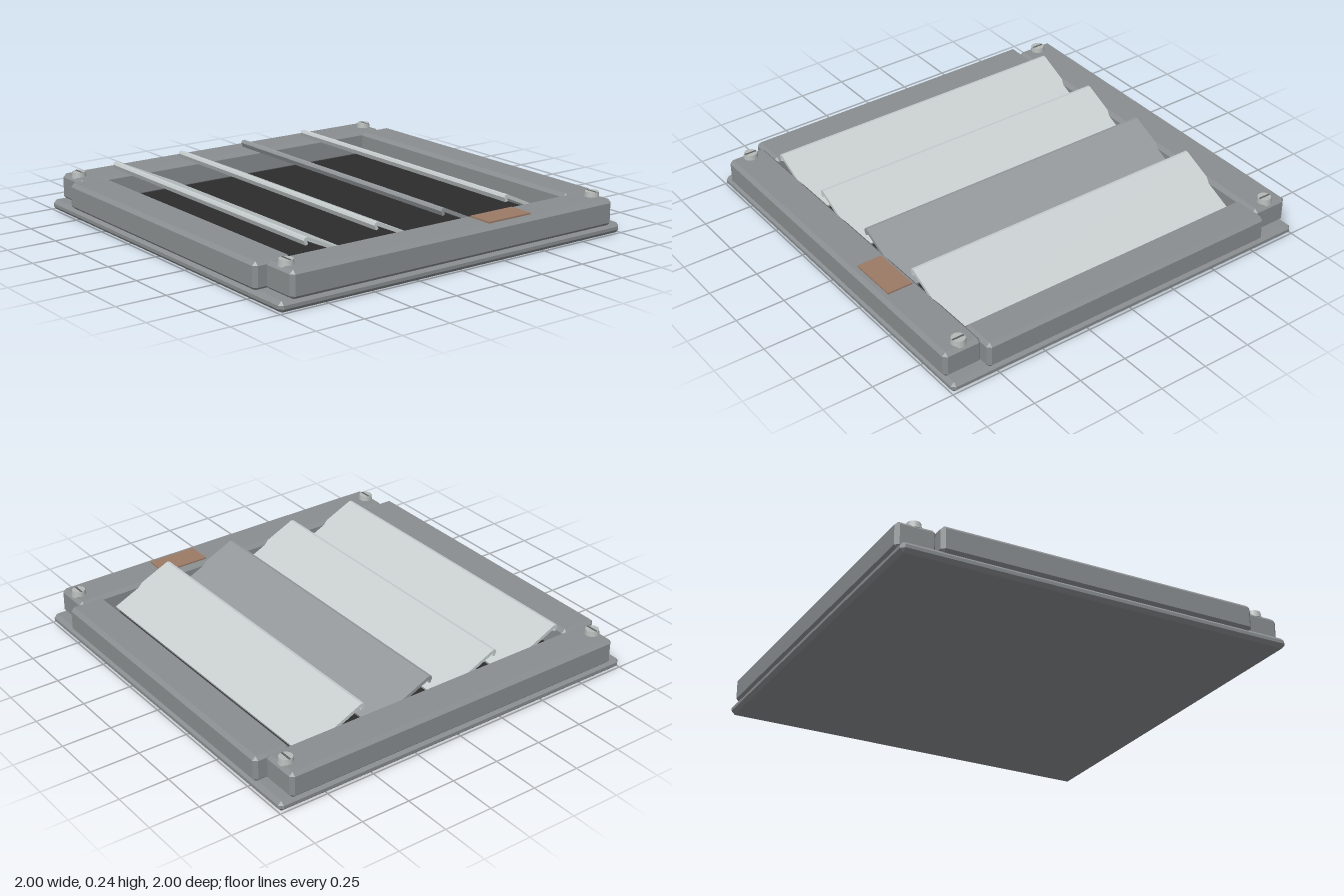
import * as THREE from 'three';
import { ConvexGeometry } from 'three/addons/geometries/ConvexGeometry.js';

function material(name, color) {
  const m = new THREE.MeshStandardMaterial({ color });
  m.name = name;
  return m;
}

// Box between two corners with every edge chamfered by c.
function chamferBox(x0, x1, y0, y1, z0, z1, c) {
  const h = [(x1 - x0) / 2, (y1 - y0) / 2, (z1 - z0) / 2];
  const points = [];
  for (const sx of [-1, 1]) for (const sy of [-1, 1]) for (const sz of [-1, 1]) {
    for (let axis = 0; axis < 3; axis++) {
      const p = h.map((v, i) => (i === axis ? v : v - c));
      points.push(new THREE.Vector3(p[0] * sx, p[1] * sy, p[2] * sz));
    }
  }
  return new ConvexGeometry(points).translate((x0 + x1) / 2, (y0 + y1) / 2, (z0 + z1) / 2);
}

export function createModel() {
  const model = new THREE.Group();
  model.name = 'louvreVent';
  const frame = material('frame grey', 0x8a8e90);
  const pale = material('pale slat metal', 0xc8cecf);
  const worn = material('worn slat grey', 0x94989b);
  const dark = material('dark interior', 0x2c2c2d);
  const steel = material('screw steel', 0xb4b9b7);
  const slotGrey = material('slot grey', 0x5c5f60);
  const copper = material('copper label', 0x9c7a66);

  const add = (name, geometry, mat, parent = model) => {
    const mesh = new THREE.Mesh(geometry, mat);
    mesh.name = name;
    parent.add(mesh);
    return mesh;
  };

  // Back plate and dark floor of the opening
  add('basePlate', chamferBox(-1, 1, 0, 0.052, -1, 1, 0.018), frame);
  add('darkFloor', new THREE.BoxGeometry(1.64, 0.008, 1.66).translate(0, 0.054, 0), dark);

  // Frame: long side rails, and end rails that project past them
  add('leftRail', chamferBox(0.8, 1, 0.045, 0.178, -0.94, 0.94, 0.018), frame);
  add('rightRail', chamferBox(-1, -0.8, 0.045, 0.178, -0.94, 0.94, 0.018), frame);
  add('frontRail', chamferBox(-0.81, 0.81, 0.045, 0.178, 0.8, 1, 0.018), frame);
  add('backRail', chamferBox(-0.81, 0.81, 0.045, 0.178, -1, -0.81, 0.018), frame);

  // Slat profile in (z, y): a sloping sheet with a lip folded down at its raised edge
  const profile = new THREE.Shape([
    [-0.33, 0.098], [-0.012, 0.244], [0.002, 0.242], [0.008, 0.23], [-0.002, 0.207],
    [-0.015, 0.212], [-0.009, 0.226], [-0.324, 0.083],
  ].map(([z, y]) => new THREE.Vector2(z, y)));
  const width = 1.63;
  const slatGeometry = new THREE.ExtrudeGeometry(profile, { depth: width, bevelEnabled: false })
    .translate(0, 0, -width / 2)
    .rotateY(-Math.PI / 2);
  for (let i = 0; i < 4; i++) {
    const slat = add('slat' + (i + 1), slatGeometry, i === 2 ? worn : pale);
    slat.position.z = 0.738 - i * 0.385;
  }

  // Slotted screws in the four corners
  const headGeometry = new THREE.CylinderGeometry(0.033, 0.038, 0.032, 16);
  const slotGeometry = new THREE.BoxGeometry(0.062, 0.003, 0.01);
  for (const x of [-0.897, 0.897]) for (const z of [-0.897, 0.897]) {
    const screw = new THREE.Group();
    screw.name = 'screw';
    screw.position.set(x, 0.186, z);
    add('screwHead', headGeometry, steel, screw);
    add('screwSlot', slotGeometry, slotGrey, screw).position.y = 0.0155;
    model.add(screw);
  }

  // Label plate on the left rail
  add('labelPlate', new THREE.BoxGeometry(0.13, 0.009, 0.255).translate(0.895, 0.181, -0.315), copper);

  return model;
}
